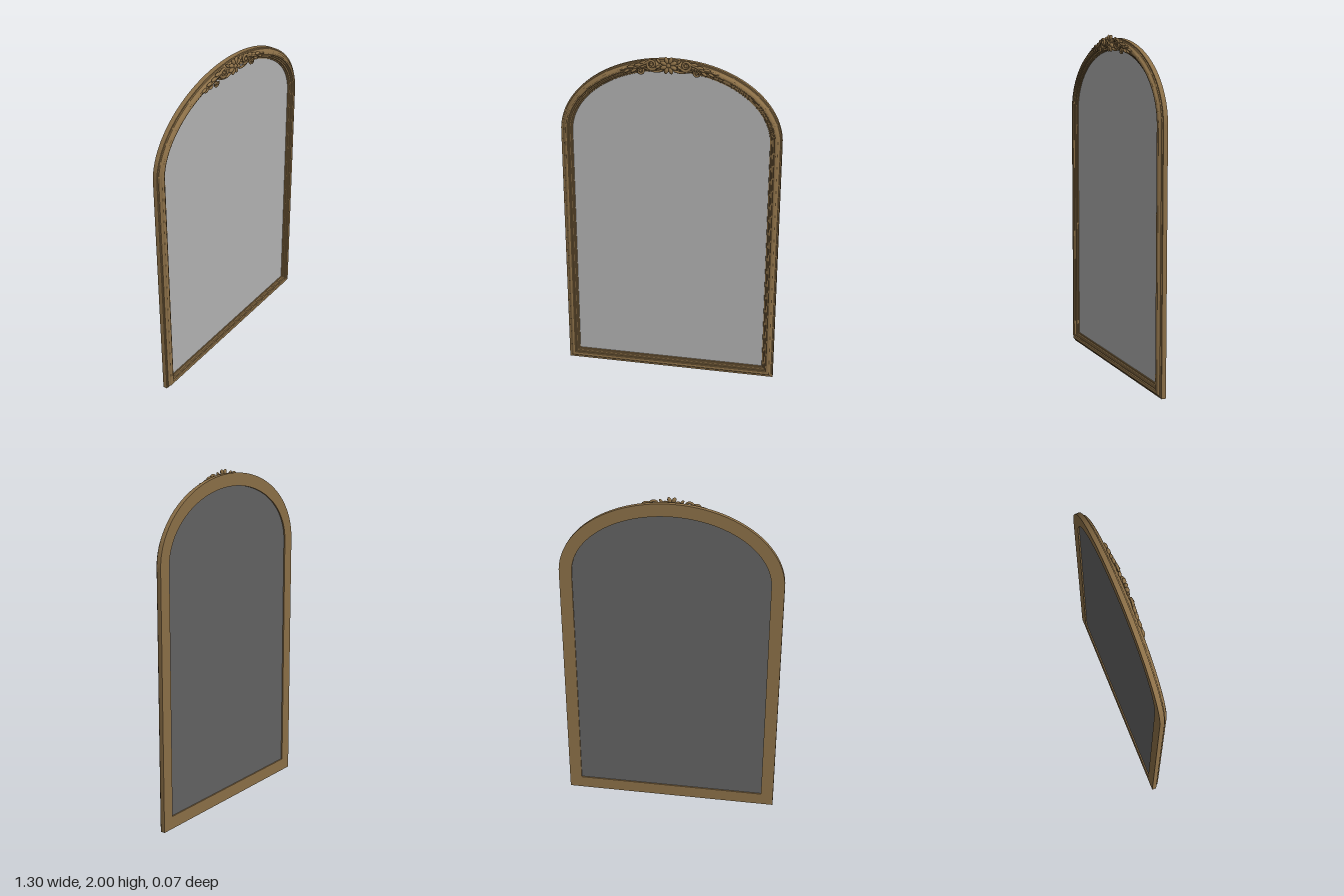
import * as THREE from 'three';
import { toCreasedNormals } from 'three/addons/utils/BufferGeometryUtils.js';

const HALF_W = 0.65, SPRING = 1.52, RISE = 0.46;

// Arched outline, inset by t from the outer edge, counter-clockwise from the front
function outline(t, segments = 72) {
  const points = [new THREE.Vector2(-HALF_W + t, t), new THREE.Vector2(HALF_W - t, t)];
  for (let i = 0; i <= segments; i++) {
    const a = Math.PI * i / segments;
    points.push(new THREE.Vector2((HALF_W - t) * Math.cos(a), SPRING + (RISE - t) * Math.sin(a)));
  }
  return points;
}

// Sweep a closed [inset, z] profile round the outline, with mitred bottom corners
function mouldingGeometry(profile) {
  const rings = profile.map(([t, z]) => outline(t).map(p => [p.x, p.y, z]));
  const n = rings[0].length, positions = [];
  for (let j = 0; j < rings.length; j++) {
    const r0 = rings[j], r1 = rings[(j + 1) % rings.length];
    for (let i = 0; i < n; i++) {
      const k = (i + 1) % n;
      positions.push(...r0[i], ...r0[k], ...r1[k], ...r0[i], ...r1[k], ...r1[i]);
    }
  }
  const geometry = new THREE.BufferGeometry();
  geometry.setAttribute('position', new THREE.Float32BufferAttribute(positions, 3));
  return toCreasedNormals(geometry, 0.5);
}

// Tube whose rings shrink from radius r to r * endScale
function taperedTube(points, r, endScale) {
  const curve = new THREE.CatmullRomCurve3(points);
  const steps = 40, sides = 8;
  const geometry = new THREE.TubeGeometry(curve, steps, r, sides);
  const pos = geometry.attributes.position, v = new THREE.Vector3();
  for (let i = 0; i <= steps; i++) {
    const centre = curve.getPointAt(i / steps);
    for (let j = 0; j <= sides; j++) {
      const k = i * (sides + 1) + j;
      v.fromBufferAttribute(pos, k).sub(centre);
      v.multiplyScalar(THREE.MathUtils.lerp(1, endScale, i / steps)).add(centre);
      pos.setXYZ(k, v.x, v.y, v.z);
    }
  }
  return geometry;
}

// Points winding in from radius r, rising a little towards the eye
function spiral(cx, cy, r, start, turns) {
  const points = [];
  for (let i = 0; i <= 20; i++) {
    const u = i / 20, a = start + turns * Math.PI * 2 * u, d = r * (1 - 0.75 * u);
    points.push(new THREE.Vector3(cx + d * Math.cos(a), cy + d * Math.sin(a), 0.018 + 0.005 * u));
  }
  return points;
}

export function createModel() {
  const model = new THREE.Group();
  const gold = new THREE.MeshStandardMaterial({ color: 0x8b6f47 });
  gold.name = 'antique gold';
  const glassGrey = new THREE.MeshStandardMaterial({ color: 0xb2b2b2 });
  glassGrey.name = 'mirror grey';
  const backGrey = new THREE.MeshStandardMaterial({ color: 0x626262 });
  backGrey.name = 'backing grey';

  const add = (parent, name, geometry, material) => {
    const mesh = new THREE.Mesh(geometry, material);
    mesh.name = name;
    parent.add(mesh);
    return mesh;
  };

  // Stepped frame moulding
  add(model, 'frame', mouldingGeometry([
    [0.075, -0.035], [0, -0.035], [0, -0.008], [0.007, -0.008], [0.009, -0.002], [0.015, 0],
    [0.018, 0.003], [0.021, 0.01], [0.027, 0.014], [0.034, 0.015], [0.041, 0.012], [0.044, 0.006],
    [0.05, 0.006], [0.052, 0.001], [0.059, -0.002], [0.062, -0.008], [0.068, -0.009],
    [0.07, -0.014], [0.075, -0.014],
  ]), gold);

  // Mirror and backing
  const pane = new THREE.ShapeGeometry(new THREE.Shape(outline(0.068)));
  add(model, 'mirrorGlass', pane, glassGrey).position.z = -0.013;
  const backing = add(model, 'backPanel', pane, backGrey);
  backing.position.z = -0.027;
  backing.rotation.y = Math.PI;

  // Crest ornament
  const crest = new THREE.Group();
  crest.name = 'crest';
  model.add(crest);
  const ball = new THREE.SphereGeometry(1, 16, 10);
  const blob = (parent, name, x, y, z, sx, sy, sz, angle = 0) => {
    const mesh = add(parent, name, ball, gold);
    mesh.position.set(x, y, z);
    mesh.scale.set(sx, sy, sz);
    mesh.rotation.z = angle;
  };

  // Central flower
  for (let i = 0; i < 8; i++) {
    const a = (i + 0.5) * Math.PI / 4;
    blob(crest, 'petal', 0.031 * Math.cos(a), 1.95 + 0.031 * Math.sin(a), 0.021, 0.021, 0.012, 0.011, a);
  }
  blob(crest, 'flowerCentre', 0, 1.95, 0.026, 0.013, 0.013, 0.009);

  for (const side of [1, -1]) {
    const at = (x, y, z = 0.018) => new THREE.Vector3(side * x, y, z);
    const wind = (...args) => spiral(...args).map(p => at(p.x, p.y, p.z));

    // Large and small volutes
    add(crest, 'largeScroll', taperedTube(wind(0.098, 1.952, 0.031, -2.6, 1.6), 0.0095, 0.6), gold);
    blob(crest, 'scrollEye', side * 0.098, 1.952, 0.024, 0.01, 0.01, 0.009);
    add(crest, 'smallScroll', taperedTube(wind(0.162, 1.912, 0.02, 2.4, 1.4), 0.007, 0.6), gold);
    blob(crest, 'scrollEye', side * 0.162, 1.912, 0.023, 0.007, 0.007, 0.008);

    // Stems joining the scrolls and trailing along the arch
    add(crest, 'lowerStem', taperedTube(
      [at(0.03, 1.922), at(0.07, 1.912), at(0.11, 1.918), at(0.145, 1.93)], 0.008, 0.6), gold);
    add(crest, 'trailingStem', taperedTube(
      [at(0.12, 1.962), at(0.155, 1.948), at(0.2, 1.925), at(0.24, 1.921), at(0.285, 1.9, 0.013)], 0.009, 0.25), gold);

    // Acanthus leaves: x, y, length, width, angle
    for (const [x, y, length, width, angle] of [
      [0.058, 1.972, 0.018, 0.008, 0.9], [0.062, 1.938, 0.016, 0.008, -0.6],
      [0.145, 1.96, 0.022, 0.009, -0.15], [0.178, 1.944, 0.022, 0.009, -0.2],
      [0.202, 1.91, 0.02, 0.008, -0.6], [0.218, 1.932, 0.022, 0.008, -0.1],
      [0.242, 1.906, 0.02, 0.007, -0.5], [0.262, 1.914, 0.022, 0.006, -0.3],
    ]) blob(crest, 'leaf', side * x, y, 0.016, length, width, 0.009, side * angle);
  }
  return model;
}
